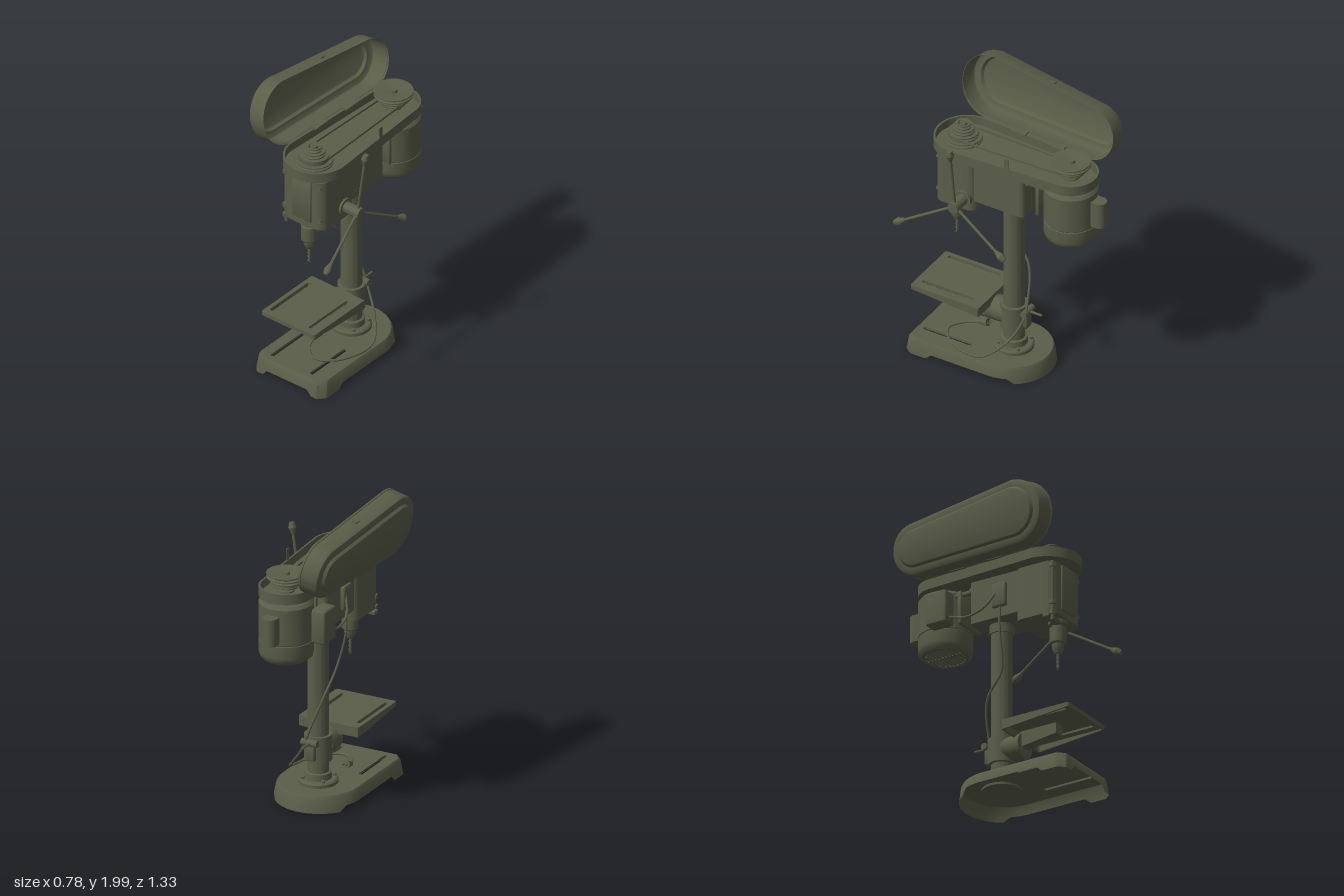
import * as THREE from 'three';
import { toCreasedNormals } from 'three/addons/utils/BufferGeometryUtils.js';
import { RoundedBoxGeometry } from 'three/addons/geometries/RoundedBoxGeometry.js';

const CX = 0.04; // column axis
const V = (x, y, z) => new THREE.Vector3(x, y, z);

export function createModel() {
  const root = new THREE.Group();
  const olive = new THREE.MeshStandardMaterial({ color: 0x5a5e49, side: THREE.DoubleSide });
  olive.name = 'olive paint';

  const add = (name, geo, pos = [0, 0, 0], parent = root) => {
    const m = new THREE.Mesh(toCreasedNormals(geo, 0.6), olive);
    m.name = name;
    m.position.set(...pos);
    parent.add(m);
    return m;
  };
  const box = (name, w, h, d, x, y, z, r = 0) =>
    add(name, r ? new RoundedBoxGeometry(w, h, d, 3, r) : new THREE.BoxGeometry(w, h, d), [x, y, z]);
  const lathe = (name, pts, x, z, seg = 40) =>
    add(name, new THREE.LatheGeometry(pts.map(p => new THREE.Vector2(...p)), seg), [x, 0, z]);
  // round bar between two points
  const rod = (name, a, b, r, r2 = r, seg = 20) => {
    const dir = b.clone().sub(a);
    const m = add(name, new THREE.CylinderGeometry(r2, r, dir.length(), seg));
    m.position.copy(a).add(b).multiplyScalar(0.5);
    m.quaternion.setFromUnitVectors(V(0, 1, 0), dir.normalize());
    return m;
  };
  const tube = (name, pts, r) =>
    add(name, new THREE.TubeGeometry(new THREE.CatmullRomCurve3(pts.map(p => V(...p))), 100, r, 8));
  // plan shape (x, z) extruded down from y
  const slab = (name, shape, y, depth) =>
    add(name, new THREE.ExtrudeGeometry(shape, { depth, bevelEnabled: false, curveSegments: 24 }).rotateX(Math.PI / 2), [0, y, 0]);
  // side profile (z, y) extruded across x
  const side = (name, pts, x, w) => {
    const s = new THREE.Shape(pts.map(p => new THREE.Vector2(-p[0], p[1])));
    return add(name, new THREE.ExtrudeGeometry(s, { depth: w, bevelEnabled: false }).rotateY(Math.PI / 2), [x - w / 2, 0, 0]);
  };
  // skin joining closed rings of equal length, optionally capped on the last ring
  const loft = (rings, cap) => {
    const n = rings[0].length, pos = [], idx = [];
    rings.forEach(r => r.forEach(p => pos.push(p.x, p.y, p.z)));
    for (let k = 0; k < rings.length - 1; k++)
      for (let i = 0; i < n; i++) {
        const a = k * n + i, b = k * n + (i + 1) % n;
        idx.push(a, a + n, b, b, a + n, b + n);
      }
    if (cap) {
      const c = rings.at(-1).reduce((s, p) => s.add(p), V(0, 0, 0)).divideScalar(n), o = (rings.length - 1) * n;
      pos.push(c.x, c.y, c.z);
      for (let i = 0; i < n; i++) idx.push(o + i, rings.length * n, o + (i + 1) % n);
    }
    const g = new THREE.BufferGeometry();
    g.setAttribute('position', new THREE.Float32BufferAttribute(pos, 3));
    g.setIndex(idx);
    return g;
  };
  const ringOf = (shape, n, fn) => shape.getSpacedPoints(n).slice(0, n).map(p => fn(p.x, p.y));
  const roundRect = (x0, x1, z0, z1, r) => {
    const s = new THREE.Shape();
    s.absarc(x1 - r, z1 - r, r, 0, Math.PI / 2);
    s.absarc(x0 + r, z1 - r, r, Math.PI / 2, Math.PI);
    s.absarc(x0 + r, z0 + r, r, Math.PI, Math.PI * 1.5);
    s.absarc(x1 - r, z0 + r, r, Math.PI * 1.5, Math.PI * 2);
    s.closePath();
    return s;
  };
  const slots = (shape, list) => { for (const s of list) shape.holes.push(roundRect(...s, 0.009)); return shape; };

  // base: hollow casting, square in front, round at the back, standing on feet
  const baseShape = k => {
    const s = new THREE.Shape(), r = 0.28 * k, f = 0.63 - (1 - k) * 0.3;
    s.moveTo(CX + r, 0.02);
    s.lineTo(CX + r, f - 0.05); s.lineTo(CX + r - 0.04, f);
    s.lineTo(CX - r + 0.04, f); s.lineTo(CX - r, f - 0.05);
    s.lineTo(CX - r, 0.02);
    s.absarc(CX, 0.02, r, Math.PI, Math.PI * 2);
    return s;
  };
  const clamp01 = t => Math.min(1, Math.max(0, t));
  const footY = (x, z) => {
    const ax = Math.abs(x - CX);
    const notch = z > 0.55 ? clamp01((0.19 - ax) / 0.03) : clamp01((0.47 - z) / 0.04) * clamp01((z + 0.14) / 0.04);
    return 0.037 * notch;
  };
  add('baseWall', loft([
    ringOf(baseShape(1), 240, (x, z) => V(x, footY(x, z), z)),
    ringOf(baseShape(0.96), 240, (x, z) => V(x, 0.092, z)),
    ringOf(baseShape(0.92), 240, (x, z) => V(x, 0.11, z)),
  ]));
  slab('baseTop', slots(baseShape(0.92), [[-0.145, -0.12, 0.22, 0.565], [0.165, 0.19, 0.22, 0.565]]), 0.11, 0.015);

  // column with foot flange and upper collar
  lathe('column', [[0, 0.08], [0.125, 0.08], [0.125, 0.13], [0.115, 0.14], [0.085, 0.14], [0.082, 0.18],
    [0.067, 0.185], [0.067, 1.14], [0.077, 1.14], [0.077, 1.22]], CX, 0);
  for (let i = 0; i < 4; i++) {
    const a = Math.PI / 4 + i * Math.PI / 2, x = CX + 0.103 * Math.cos(a), z = 0.103 * Math.sin(a);
    rod('flangeBolt', V(x, 0.13, z), V(x, 0.152, z), 0.014, 0.014, 6);
  }

  // work table with tapering skirt, bracket and clamp
  const table = () => roundRect(-0.17, 0.25, 0.13, 0.62, 0.012);
  slab('tableTop', slots(table(), [[-0.142, -0.118, 0.2, 0.575], [0.165, 0.19, 0.2, 0.575]]), 0.458, 0.02);
  add('tableSkirt', loft([
    ringOf(table(), 160, (x, z) => V(x, 0.458, z)),
    ringOf(table(), 160, (x, z) => V(x, 0.43 - 0.037 * (0.62 - z) / 0.49, z)),
    ringOf(roundRect(-0.158, 0.238, 0.142, 0.608, 0.01), 160, (x, z) => V(x, 0.43 - 0.037 * (0.62 - z) / 0.49, z)),
    ringOf(roundRect(-0.158, 0.238, 0.142, 0.608, 0.01), 160, (x, z) => V(x, 0.445, z)),
  ]));
  side('tableBracket', [[0.42, 0.44], [0.42, 0.368], [0.15, 0.335], [0.15, 0.44]], CX, 0.07);
  rod('tablePivot', V(CX, 0.35, 0.04), V(CX, 0.35, 0.168), 0.082, 0.082, 36);
  lathe('tableClamp', [[0.067, 0.26], [0.087, 0.26], [0.087, 0.43], [0.067, 0.43]], CX, 0);
  box('clampEars', 0.06, 0.13, 0.06, CX, 0.345, -0.08, 0.01);
  rod('clampBolt', V(-0.01, 0.4, -0.1), V(0.1, 0.4, -0.1), 0.022);
  rod('clampLever', V(CX, 0.4, -0.1), V(CX, 0.4, -0.2), 0.008);

  // head: rounded front block, narrower rear body, raised front panel
  slab('headFront', roundRect(-0.12, 0.2, 0.19, 0.48, 0.06), 1.48, 0.35);
  slab('headRear', roundRect(-0.1, 0.18, -0.15, 0.25, 0.03), 1.48, 0.28);
  box('frontPanel', 0.15, 0.3, 0.016, CX, 1.32, 0.482, 0.006);
  box('headNeck', 0.13, 0.03, 0.17, CX, 1.49, 0.37);
  box('sideSwitch', 0.03, 0.16, 0.1, -0.112, 1.34, 0.08, 0.01);
  for (const x of [-0.09, 0.17]) for (const y of [1.2, 1.44])
    rod('headScrew', V(x, y, 0.44), V(x, y, 0.475), 0.014, 0.014, 12);

  // depth stop
  rod('depthRod', V(-0.1, 1.08, 0.46), V(-0.1, 1.48, 0.46), 0.011);
  for (const y of [1.13, 1.2, 1.45]) rod('depthNut', V(-0.1, y - 0.014, 0.46), V(-0.1, y + 0.014, 0.46), 0.024, 0.024, 6);
  box('depthArm', 0.15, 0.028, 0.05, -0.06, 1.11, 0.43, 0.008);

  // quill, chuck and bit
  lathe('chuck', [[0.06, 1.14], [0.06, 1.105], [0.038, 1.1], [0.038, 1.09], [0.052, 1.085], [0.052, 0.985], [0.044, 0.975],
    [0.038, 0.975], [0.036, 0.945], [0.02, 0.915], [0, 0.915]], CX, 0.41, 32);
  rod('drillBit', V(CX, 0.82, 0.41), V(CX, 0.92, 0.41), 0.0085, 0.0085, 10);
  rod('bitTip', V(CX, 0.8, 0.41), V(CX, 0.82, 0.41), 0.001, 0.0085, 10);
  const flute = [];
  for (let i = 0; i <= 24; i++) flute.push([CX + 0.008 * Math.cos(i * 0.9), 0.81 + i * 0.004, 0.41 + 0.008 * Math.sin(i * 0.9)]);
  tube('bitFlute', flute, 0.003);

  // feed hub and three handles
  rod('feedBoss', V(0.15, 1.215, 0.265), V(0.215, 1.215, 0.265), 0.055, 0.055, 28);
  rod('feedHub', V(0.2, 1.215, 0.265), V(0.335, 1.215, 0.265), 0.037, 0.037, 28);
  for (let i = 0; i < 3; i++) {
    const a = Math.PI / 2 + i * Math.PI * 2 / 3;
    const at = t => V(0.305 + 0.065 * t, 1.215 + 0.455 * t * Math.sin(a), 0.265 + 0.455 * t * Math.cos(a));
    rod('handleArm', at(0), at(0.86), 0.0095);
    rod('handleGripNeck', at(0.83), at(0.93), 0.012, 0.026);
    rod('handleGripTip', at(0.93), at(1), 0.026, 0.016);
  }

  // motor with vented end, capacitor and junction box
  const MZ = -0.41;
  lathe('motor', [[0, 1.12], [0.12, 1.12], [0.125, 1.09], [0.145, 1.09], [0.165, 1.11], [0.171, 1.14], [0.171, 1.215], [0.167, 1.22],
    [0.171, 1.225], [0.171, 1.46], [0.155, 1.48], [0.05, 1.485], [0.05, 1.505], [0, 1.505]], CX, MZ, 48);
  for (let i = -4; i <= 4; i++) {
    const z = i * 0.025;
    box('motorVentBar', 2 * Math.sqrt(0.0155 - z * z), 0.012, 0.012, CX, 1.097, MZ + z);
  }
  box('motorVentRib', 0.02, 0.014, 0.24, CX, 1.098, MZ);
  slab('capacitor', roundRect(CX - 0.045, CX + 0.045, -0.66, -0.53, 0.042), 1.42, 0.18);
  box('junctionBox', 0.1, 0.22, 0.15, -0.17, 1.315, -0.32, 0.015);
  for (const x of [-0.05, 0.13]) {
    rod('motorSlide', V(x, 1.44, -0.1), V(x, 1.44, -0.3), 0.016);
    rod('slideCollar', V(x, 1.44, -0.13), V(x, 1.44, -0.165), 0.026);
  }
  box('motorPlate', 0.24, 0.22, 0.025, CX, 1.35, -0.235, 0.006);

  // belt tray: tapered stadium outline
  const ZF = 0.335, ZR = -0.41, lean = Math.asin(0.04 / (ZF - ZR));
  const stadium = d => {
    const s = new THREE.Shape();
    s.absarc(CX, ZF, 0.21 + d, lean, Math.PI - lean);
    s.absarc(CX, ZR, 0.17 + d, Math.PI - lean, Math.PI * 2 + lean);
    s.closePath();
    return s;
  };
  slab('trayFloor', stadium(-0.004), 1.512, 0.012);
  const rim = stadium(0);
  rim.holes.push(stadium(-0.012));
  slab('trayWall', rim, 1.568, 0.068);
  box('trayCatch', 0.006, 0.08, 0.03, 0.225, 1.6, -0.055);

  // stepped pulleys and belt
  const pulley = (name, radii, y0, z) => {
    const pts = [[0, y0]];
    radii.forEach((r, i) => { const y = y0 + i * 0.03; pts.push([r, y], [r, y + 0.008], [r - 0.012, y + 0.015], [r, y + 0.022], [r, y + 0.03]); });
    pts.push([radii.at(-1) - 0.014, y0 + radii.length * 0.03], [0.025, y0 + radii.length * 0.03 - 0.012], [0.022, y0 + radii.length * 0.03 + 0.004], [0, y0 + radii.length * 0.03 + 0.004]);
    lathe(name, pts, CX, z, 40);
  };
  pulley('spindlePulley', [0.12, 0.095, 0.07, 0.048], 1.53, 0.365);
  pulley('motorPulley', [0.055, 0.078, 0.1, 0.123], 1.53, ZR);
  const loop = (rf, rr) => {
    const s = new THREE.Shape();
    s.absarc(CX, 0.365, rf, 0, Math.PI);
    s.absarc(CX, ZR, rr, Math.PI, Math.PI * 2);
    s.closePath();
    return s;
  };
  const belt = loop(0.094, 0.074);
  belt.holes.push(loop(0.086, 0.066));
  slab('belt', belt, 1.581, 0.014);

  // belt cover: hollow lid swung open about the left edge of the tray
  const hinge = V(CX - 0.21 * Math.cos(lean), 1.57, ZF);
  const pivot = new THREE.Group();
  pivot.name = 'beltCover';
  pivot.position.copy(hinge);
  pivot.quaternion.setFromAxisAngle(V(-Math.sin(lean), 0, Math.cos(lean)), 1.75);
  root.add(pivot);
  const lid = [[0.004, 0], [0.004, 0.012], [0, 0.014], [0, 0.11], [-0.008, 0.126], [-0.025, 0.134], [-0.05, 0.134], [-0.062, 0.152], [-0.075, 0.156]];
  add('coverShell', loft(lid.map(([d, y]) => ringOf(stadium(d), 160, (x, z) => V(x, y, z))), true), [-hinge.x, 0, -hinge.z], pivot);
  add('coverCatch', new THREE.BoxGeometry(0.012, 0.03, 0.035), [0.4, 0.06, -0.4], pivot);
  for (const z of [-0.2, 0.08]) box('hingeLeaf', 0.045, 0.012, 0.11, -0.148 - z * 0.05, 1.57, z);

  // power cords and plug
  tube('powerCord', [[-0.11, 1.28, 0.08], [-0.11, 1.1, 0.08], [-0.055, 0.86, 0.06], [-0.03, 0.7, -0.06], [0.04, 0.5, -0.1],
    [0.1, 0.35, -0.095], [0.2, 0.22, -0.03], [0.285, 0.13, 0.1], [0.23, 0.12, 0.34], [0.1, 0.12, 0.43], [0, 0.125, 0.36], [-0.03, 0.14, 0.27]], 0.008);
  tube('motorCord', [[-0.12, 1.36, 0.06], [-0.16, 1.26, 0], [-0.17, 1.22, -0.12], [-0.17, 1.25, -0.25]], 0.008);
  rod('plug', V(-0.03, 0.135, 0.29), V(-0.03, 0.15, 0.23), 0.016, 0.026, 16);
  for (const x of [-0.042, -0.018]) rod('plugPin', V(x, 0.15, 0.23), V(x, 0.157, 0.2), 0.004, 0.004, 8);

  return root;
}
